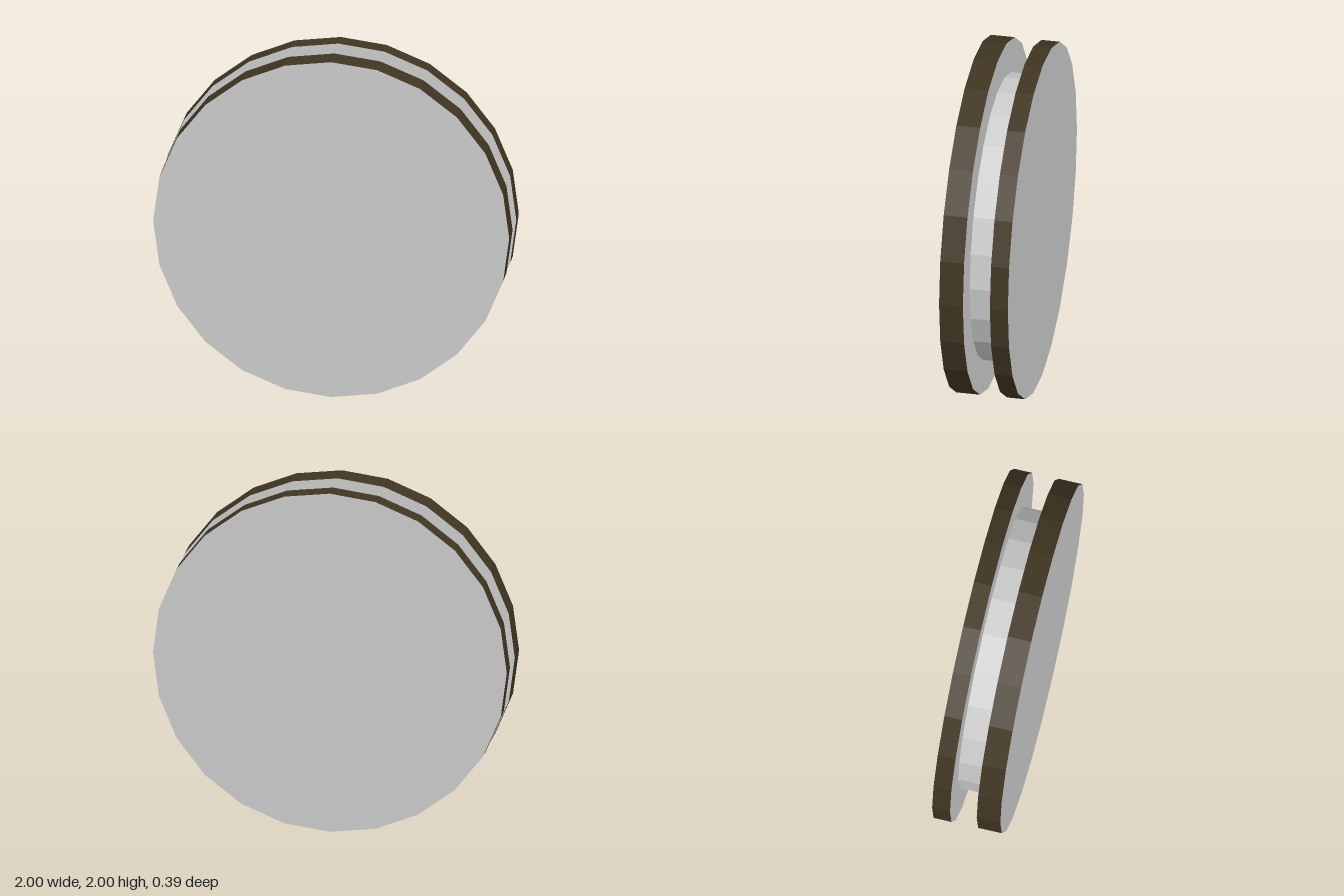
import * as THREE from 'three';

const SIDES = 24;

export function createModel() {
  const model = new THREE.Group();
  const grey = new THREE.MeshStandardMaterial({ color: 0xcccccc, flatShading: true });
  const dark = new THREE.MeshStandardMaterial({ color: 0x403522, flatShading: true });

  // Faceted disc with its axis along z, spanning zBack to zFront
  function addDisc(name, radius, zBack, zFront, rimMaterial, openEnded = false) {
    const geometry = new THREE.CylinderGeometry(radius, radius, zFront - zBack, SIDES, 1, openEnded);
    geometry.rotateX(Math.PI / 2);
    const disc = new THREE.Mesh(geometry, [rimMaterial, grey, grey]);
    disc.name = name;
    disc.position.set(0, 1, (zBack + zFront) / 2);
    model.add(disc);
  }

  // Two dark-rimmed discs joined by a narrower hub
  addDisc('frontDisc', 1, 0.06, 0.195, dark);
  addDisc('backDisc', 1, -0.195, -0.093, dark);
  addDisc('hub', 0.805, -0.093, 0.06, grey, true);

  return model;
}
